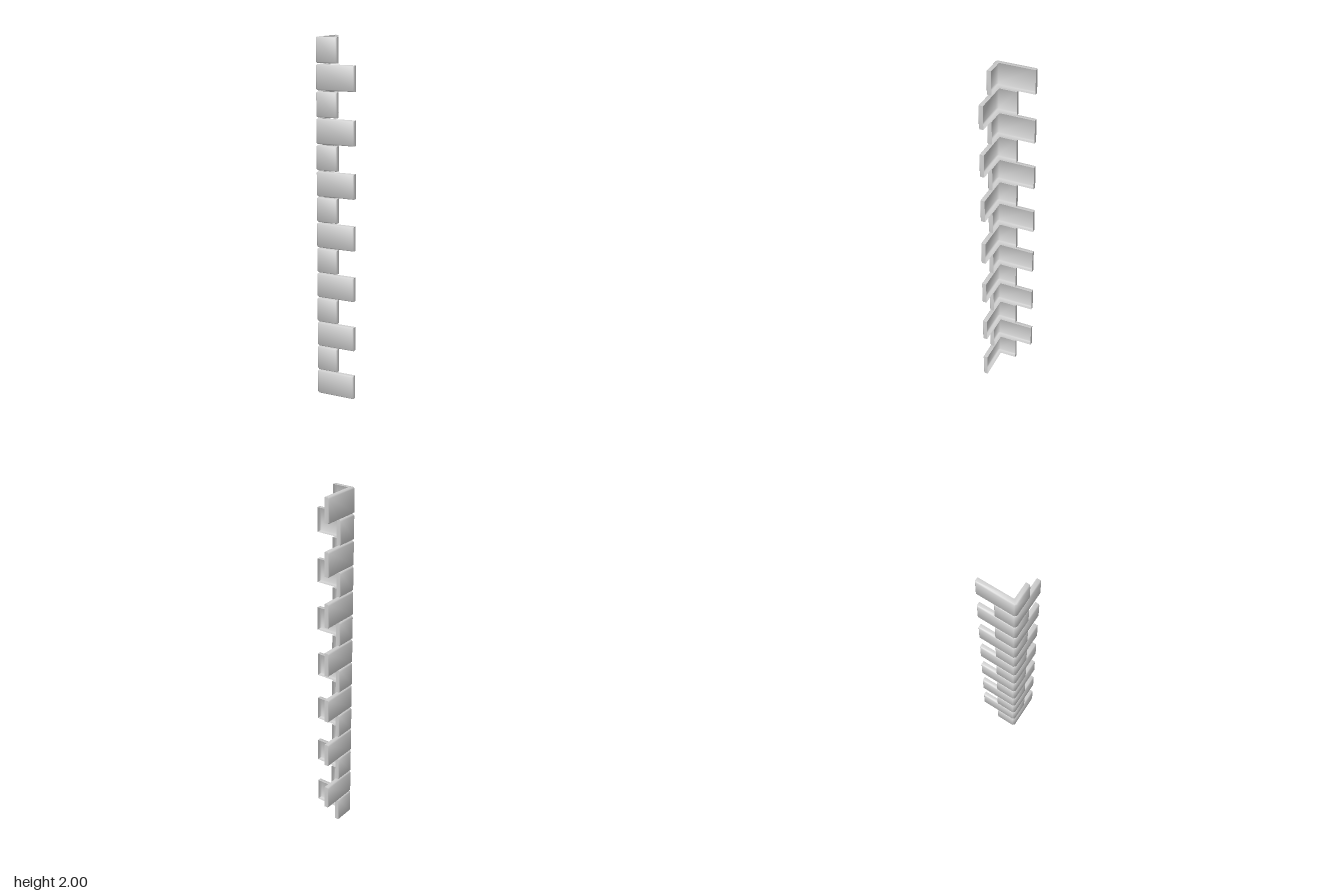
import * as THREE from 'three';
import { toCreasedNormals } from 'three/addons/utils/BufferGeometryUtils.js';

const OUT = 0.113;     // outer face distance from the centre
const INN = 0.0855;    // open inner rim distance
const BEVEL = 0.006;   // bevel round the outer faces
const CORNER = 0.011;  // chamfer on the outer vertical corner
const FILLET = 0.004;  // chamfer in the inner corner of the rims
const COUNT = 14, HEIGHT = 0.136;

// L-shaped plan (x, z), with its outer faces pulled in by inset
function outline(xEnd, zEnd, inset) {
  const o = OUT - inset;
  return [
    [xEnd, INN], [xEnd, OUT - BEVEL], [xEnd - BEVEL, o],
    [-OUT + CORNER, o], [-o, OUT - CORNER],
    [-o, zEnd + BEVEL], [-OUT + BEVEL, zEnd], [-INN, zEnd],
    [-INN, INN - FILLET], [-INN + FILLET, INN],
  ];
}

// Hollow corner brick: outer and end walls with top and bottom rims, open on the inside
function brickGeometry(xEnd, zEnd) {
  const levels = [[0, BEVEL], [BEVEL, 0], [HEIGHT - BEVEL, 0], [HEIGHT, BEVEL]];
  const pos = [], index = [];
  for (const [y, inset] of levels) {
    for (const [x, z] of outline(xEnd, zEnd, inset)) pos.push(x, y, z);
  }
  const n = 10, wallEdges = 7;
  for (let k = 0; k < 3; k++) {
    for (let j = 0; j < wallEdges; j++) {
      const a = k * n + j, b = a + 1;
      index.push(a, a + n, b + n, a, b + n, b);
    }
  }
  const rim = [[0, 1, 2], [0, 2, 3], [0, 3, 9], [9, 3, 4], [9, 4, 8], [8, 4, 5], [8, 5, 6], [8, 6, 7]];
  for (const [a, b, c] of rim) {
    index.push(a, b, c, 3 * n + c, 3 * n + b, 3 * n + a);
  }
  const geometry = new THREE.BufferGeometry();
  geometry.setAttribute('position', new THREE.Float32BufferAttribute(pos, 3));
  geometry.setIndex(index);
  return toCreasedNormals(geometry, Math.PI / 3);
}

export function createModel() {
  const group = new THREE.Group();
  group.name = 'cornerQuoins';
  const material = new THREE.MeshStandardMaterial({ color: 0xcccccc, side: THREE.DoubleSide });
  const longFront = brickGeometry(OUT, -0.012);
  const longSide = brickGeometry(0.012, -OUT);

  // Bricks alternate their long leg between the front and the side
  for (let i = 0; i < COUNT; i++) {
    const front = i % 2 === 0;
    const brick = new THREE.Mesh(front ? longFront : longSide, material);
    brick.name = (front ? 'frontBrick' : 'sideBrick') + (i + 1);
    brick.position.y = i * (2 - HEIGHT) / (COUNT - 1);
    group.add(brick);
  }
  return group;
}
